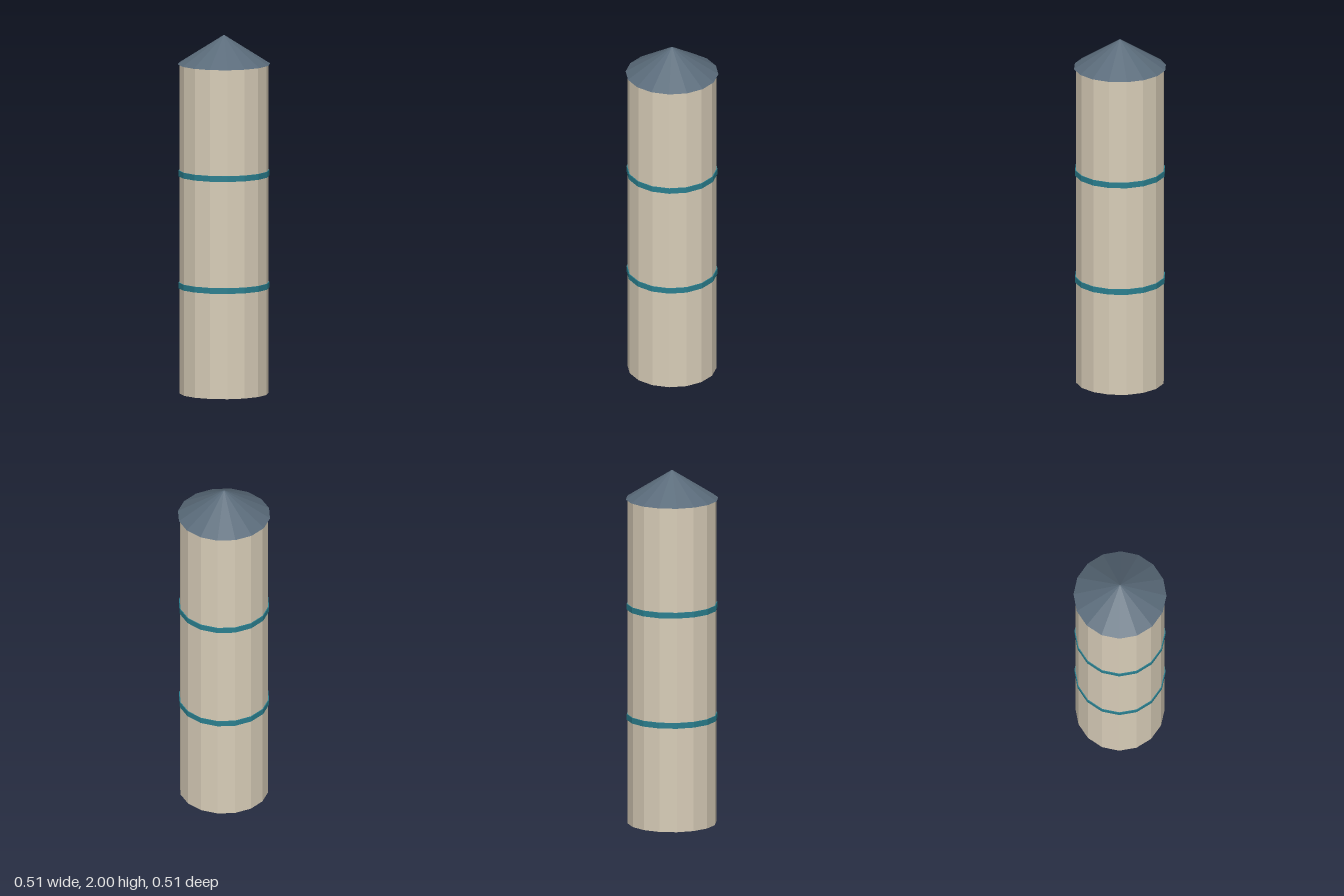
import * as THREE from 'three';

const SIDES = 16;

function material(color) {
  return new THREE.MeshStandardMaterial({ color, flatShading: true });
}

// Adds an upright faceted drum or cone standing on height y
function addDrum(group, name, rTop, rBottom, height, y, mat) {
  const geometry = new THREE.CylinderGeometry(rTop, rBottom, height, SIDES);
  const mesh = new THREE.Mesh(geometry, mat);
  mesh.name = name;
  mesh.position.y = y + height / 2;
  group.add(mesh);
}

export function createModel() {
  const model = new THREE.Group();
  model.name = 'tower';

  const stone = material(0xd8cdb8);
  const slate = material(0x5a6b7a);
  const teal = material(0x2a7f8f);

  // Main shaft
  addDrum(model, 'shaft', 0.247, 0.247, 1.837, 0, stone);

  // Two thin trim bands
  [['lowerBand', 0.604], ['upperBand', 1.229]].forEach(([name, y]) => {
    addDrum(model, name, 0.252, 0.252, 0.032, y - 0.016, teal);
  });

  // Conical roof with a slight overhang
  const roof = new THREE.Mesh(new THREE.ConeGeometry(0.257, 0.163, SIDES), slate);
  roof.name = 'roof';
  roof.position.y = 1.837 + 0.163 / 2;
  model.add(roof);

  return model;
}
